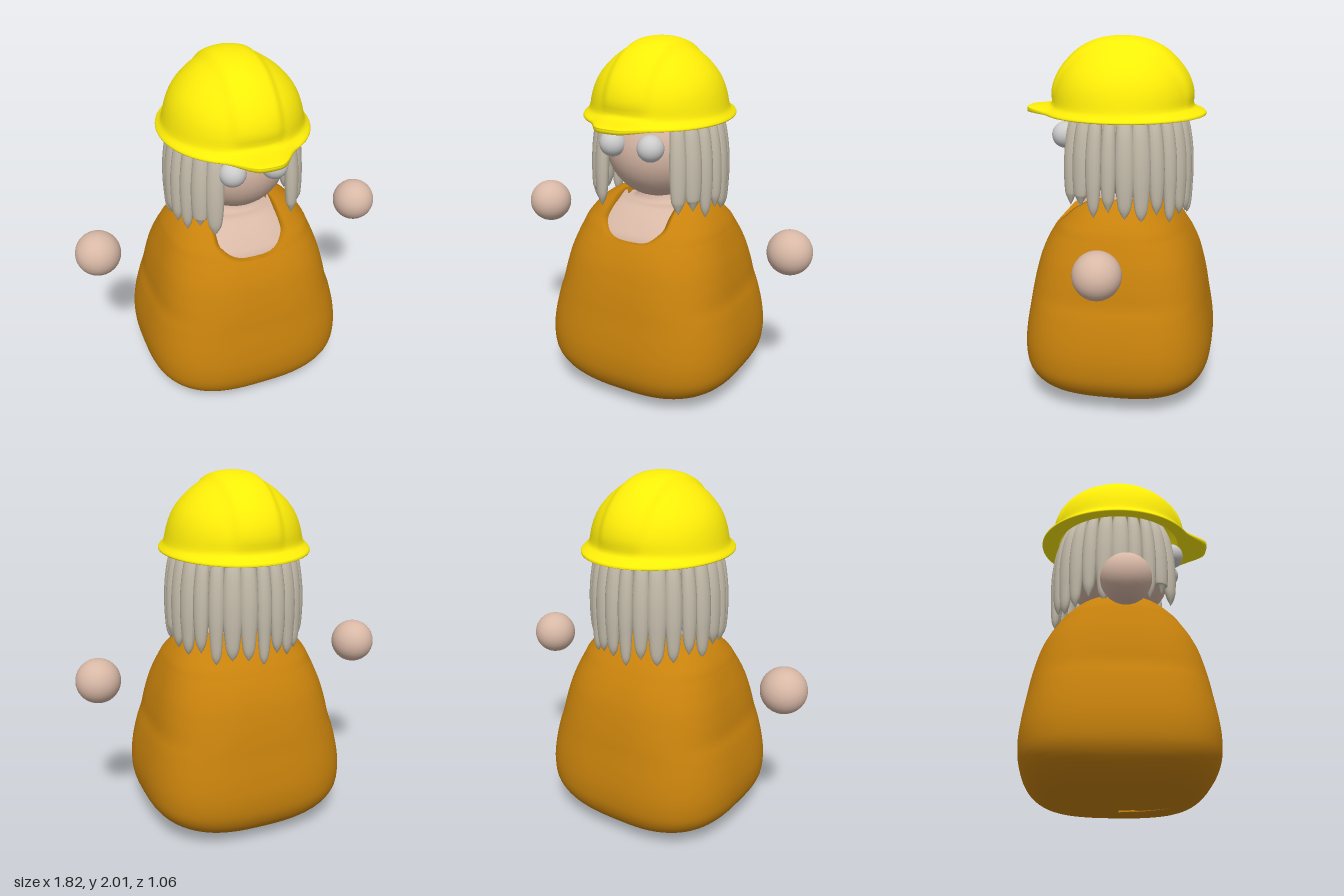
import * as THREE from 'three';
import { mergeVertices } from 'three/addons/utils/BufferGeometryUtils.js';

const mat = (color) => new THREE.MeshStandardMaterial({ color, roughness: 0.7, side: THREE.DoubleSide });
const V = (x, y, z) => new THREE.Vector3(x, y, z);
const spow = (v, p) => Math.sign(v) * Math.pow(Math.abs(v), p);

// smooth surface through rows of points (rows run upward, points run from front to the model's left)
function loft(rows) {
  const pos = [], idx = [], n = rows[0].length;
  rows.forEach((row) => row.forEach((p) => pos.push(p.x, p.y, p.z)));
  for (let r = 0; r < rows.length - 1; r++) {
    for (let i = 0; i < n - 1; i++) {
      const a = r * n + i, b = a + 1, c = a + n, d = c + 1;
      idx.push(a, b, d, a, d, c);
    }
  }
  const g = new THREE.BufferGeometry();
  g.setAttribute('position', new THREE.Float32BufferAttribute(pos, 3));
  g.setIndex(idx);
  const merged = mergeVertices(g, 1e-4);
  merged.computeVertexNormals();
  return merged;
}

// smooth interpolation through [y, a, b, ...] stations
function stations(list, count) {
  const out = [];
  for (let i = 0; i < list.length - 1; i++) {
    const p0 = list[Math.max(i - 1, 0)], p1 = list[i], p2 = list[i + 1], p3 = list[Math.min(i + 2, list.length - 1)];
    for (let k = 0; k < count; k++) {
      const t = k / count;
      out.push(p1.map((v, j) => 0.5 * (2 * v + (p2[j] - p0[j]) * t
        + (2 * p0[j] - 5 * v + 4 * p2[j] - p3[j]) * t * t + (3 * v - p0[j] - 3 * p2[j] + p3[j]) * t * t * t)));
    }
  }
  out.push(list[list.length - 1]);
  return out;
}

// half width of the U-shaped neckline at height y
function neckWidth(y) {
  if (y < 0.952) return 0;
  return 0.19 * Math.pow(Math.min((y - 0.952) / 0.08, 1), 0.3);
}

// rounded-square ring; an open ring leaves the neckline free and folds its edges inward
function bodyRing([y, a, b, n], open) {
  const w = open ? Math.min(neckWidth(y), a * 0.95) : 0;
  const start = Math.asin(Math.pow(w / Math.max(a, 1e-6), n / 2));
  const pts = [], segs = 72;
  for (let i = 0; i <= segs; i++) {
    const t = start + (2 * Math.PI - 2 * start) * i / segs;
    pts.push(V(a * spow(Math.sin(t), 2 / n), y, b * spow(Math.cos(t), 2 / n)));
  }
  if (open) {
    const fold = (p) => V(p.x, p.y - 0.01, p.z - Math.min(0.06, b * 0.3));
    pts.unshift(fold(pts[0]));
    pts.push(fold(pts[pts.length - 1]));
  }
  return pts;
}

function makeBody() {
  const low = [[0.005, 0, 0, 2.6], [0.012, 0.18, 0.2, 2.7], [0.04, 0.36, 0.37, 2.8], [0.1, 0.49, 0.465, 2.9],
    [0.19, 0.562, 0.518, 3], [0.3, 0.58, 0.532, 3], [0.42, 0.57, 0.522, 3], [0.55, 0.54, 0.5, 3],
    [0.63, 0.512, 0.487, 3], [0.72, 0.495, 0.468, 2.9], [0.82, 0.47, 0.44, 2.8], [0.9, 0.442, 0.405, 2.7],
    [0.952, 0.422, 0.375, 2.6]];
  const high = [[0.952, 0.422, 0.375, 2.6], [0.956, 0.42, 0.372, 2.6], [0.97, 0.414, 0.363, 2.6], [1.0, 0.4, 0.342, 2.6],
    [1.04, 0.373, 0.308, 2.5], [1.08, 0.338, 0.266, 2.5], [1.11, 0.3, 0.225, 2.4], [1.13, 0.265, 0.19, 2.4],
    [1.142, 0.23, 0.16, 2.3], [1.138, 0.2, 0.14, 2.3], [1.1, 0.19, 0.13, 2.3]];
  return loft([...stations(low, 4), ...stations(high, 3)].map((s) => bodyRing(s, true)));
}

function makeChest() {
  const s = [[0.85, 0.4, 0.36, 2.6], [0.95, 0.38, 0.335, 2.6], [1.0, 0.36, 0.3, 2.6],
    [1.06, 0.31, 0.24, 2.5], [1.1, 0.23, 0.18, 2.4], [1.115, 0.14, 0.12, 2.2], [1.2, 0.11, 0.1, 2]];
  return loft(stations(s, 4).map((r) => bodyRing(r, false)));
}

// hard hat: stations are [y, half width, back depth, front depth, brim share, dome share]
function makeHat() {
  const s = [[1.9, 0, 0, 0, 0, 0], [1.87, 0.2, 0.22, 0.22, 0, 0], [1.75, 0.31, 0.33, 0.33, 0, 0],
    [1.6, 0.345, 0.355, 0.355, 0, 0], [1.588, 0.36, 0.375, 0.375, 0, 0], [1.586, 0.398, 0.45, 0.43, 0.95, 0],
    [1.593, 0.406, 0.458, 0.438, 1, 0], [1.604, 0.4, 0.452, 0.433, 1, 0], [1.618, 0.388, 0.42, 0.408, 0.5, 0],
    [1.64, 0.376, 0.388, 0.388, 0, 0.2], [1.7, 0.361, 0.38, 0.38, 0, 0.8], [1.76, 0.34, 0.362, 0.362, 0, 1],
    [1.82, 0.305, 0.33, 0.33, 0, 1], [1.88, 0.25, 0.28, 0.28, 0, 1], [1.93, 0.185, 0.22, 0.22, 0, 1],
    [1.965, 0.12, 0.145, 0.145, 0, 1], [1.982, 0.06, 0.07, 0.07, 0, 1], [1.986, 0, 0, 0, 0, 1]];
  const rows = stations(s, 3).map(([y, rx, back, front, brim, dome]) => {
    const pts = [];
    for (let i = 0; i <= 120; i++) {
      const t = 2 * Math.PI * i / 120, sn = Math.sin(t), cs = Math.cos(t);
      const p = V(rx * sn, y, (cs > 0 ? front : back) * cs);
      // visor at the front
      if (cs > 0) {
        const v = brim * (1 - THREE.MathUtils.smoothstep(Math.abs(sn), 0.12, 0.5));
        p.z += 0.092 * v;
        if (y > 1.59) p.y += 0.012 * v;
      }
      // raised band running front to back over the crown
      const band = dome * (1 - THREE.MathUtils.smoothstep(Math.abs(p.x), 0.1, 0.15));
      const dir = V(p.x * 0.3, p.y - 1.6, p.z).normalize();
      p.addScaledVector(dir, 0.014 * band);
      pts.push(p);
    }
    return pts;
  });
  return loft(rows);
}

// one tapered lock of hair hanging at angle t from the front
function makeLock(t, tip, width) {
  const sn = Math.sin(t), cs = Math.cos(t);
  const path = [[1.66, 0.29, 0.5], [1.55, 0.325, 0.85], [1.42, 0.343, 1], [1.3, 0.35, 1], [1.2, 0.353, 0.85], [0, 0.354, 0.6], [0, 0.354, 0]];
  path[5][0] = tip + 0.05;
  path[6][0] = tip;
  const rows = stations(path, 4).reverse().map(([y, r, w]) => {
    const pts = [];
    for (let i = 0; i <= 12; i++) {
      const u = 2 * Math.PI * i / 12;
      const side = width * w * Math.sin(u), out = r + 0.035 * w * Math.cos(u);
      const zScale = cs > 0 ? 0.97 : 1.03;
      pts.push(V(out * sn + side * cs, y, (out * cs - side * sn) * zScale));
    }
    return pts;
  });
  return loft(rows);
}

export function createModel() {
  const model = new THREE.Group();
  const skin = mat(0xd8b8a6), orange = mat(0xc8820c), yellow = mat(0xffee08), hairMat = mat(0xc4bcab), eyeMat = mat(0xcccccc);
  const add = (name, geometry, material, parent = model) => {
    const m = new THREE.Mesh(geometry, material);
    m.name = name;
    parent.add(m);
    return m;
  };
  const ball = (name, r, x, y, z, material) => {
    const m = add(name, new THREE.SphereGeometry(r, 32, 20), material);
    m.position.set(x, y, z);
    return m;
  };

  // clothing and the skin inside the neckline
  add('body', makeBody(), orange);
  add('chest', makeChest(), skin);

  // head and eyes
  ball('head', 0.3, 0, 1.425, 0, skin).scale.set(0.98, 1, 1.03);
  ball('rightEye', 0.072, -0.115, 1.473, 0.3, eyeMat);
  ball('leftEye', 0.072, 0.115, 1.473, 0.3, eyeMat);

  // floating hands
  ball('rightHand', 0.125, -0.786, 0.94, -0.005, skin);
  ball('leftHand', 0.122, 0.788, 0.925, -0.005, skin);

  // hair all around except over the face
  const hair = new THREE.Group();
  hair.name = 'hair';
  model.add(hair);
  const count = 21, from = 0.78, to = 2 * Math.PI - 0.62;
  for (let i = 0; i < count; i++) {
    const t = from + (to - from) * i / (count - 1);
    const tip = 1.085 + 0.04 * Math.cos(t) + 0.025 * Math.sin(i * 2.4);
    add('lock' + (i + 1), makeLock(t, tip, 0.047 + 0.005 * Math.sin(i * 1.7)), hairMat, hair);
  }

  add('hardHat', makeHat(), yellow);
  return model;
}
